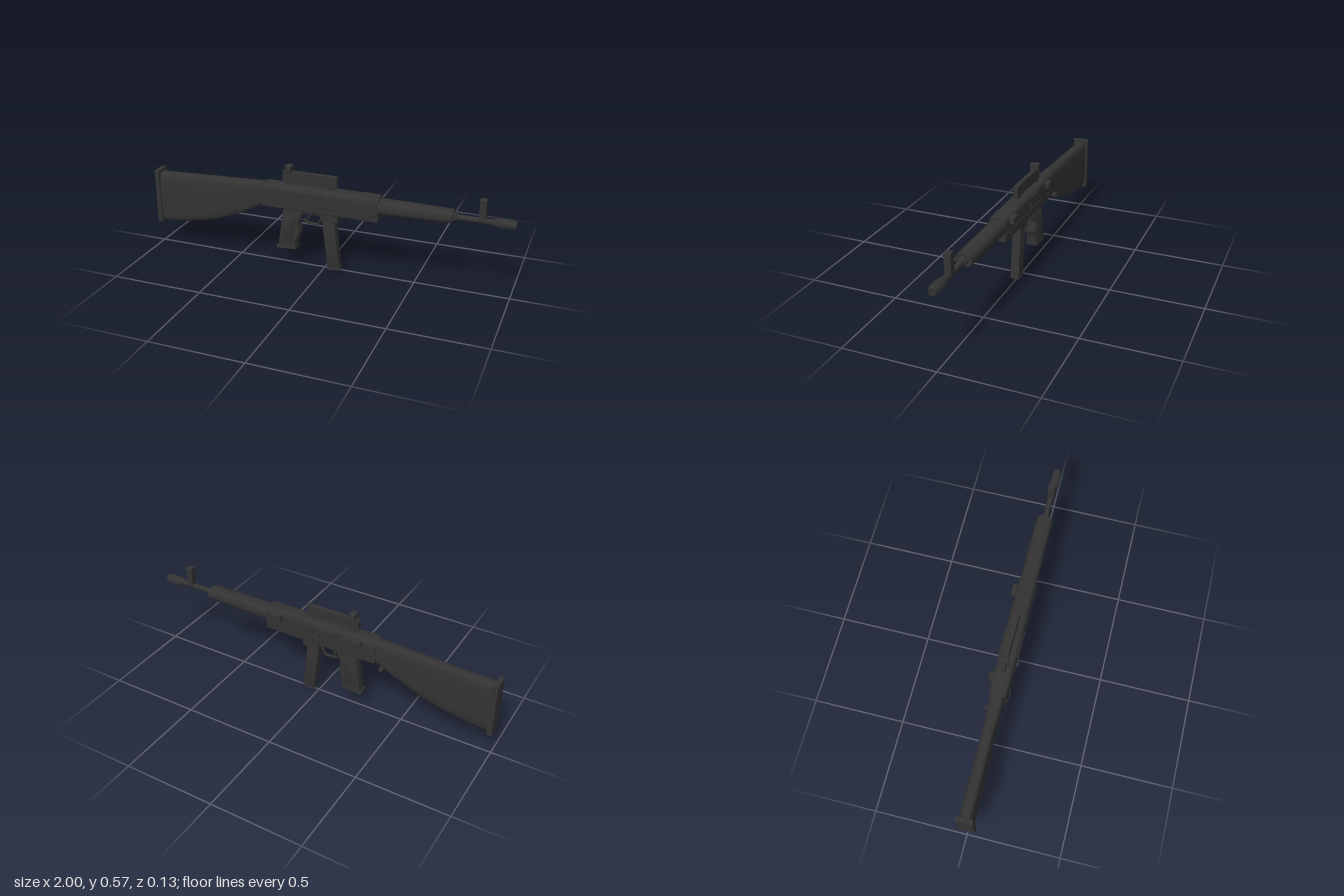
import * as THREE from 'three';
import { toCreasedNormals } from 'three/addons/utils/BufferGeometryUtils.js';
import { RoundedBoxGeometry } from 'three/addons/geometries/RoundedBoxGeometry.js';

const matte = new THREE.MeshStandardMaterial({ color: 0x333333 });
matte.name = 'matte black';

// Body lofted along x; each section is [x, top y, bottom y, half width], power sets how square it is
function loft(sections, power, n = 32) {
  const pos = [], index = [];
  for (const [x, top, bottom, w] of sections) {
    for (let j = 0; j < n; j++) {
      const a = (j / n) * Math.PI * 2, c = Math.cos(a), s = Math.sin(a);
      const round = (v) => Math.sign(v) * Math.abs(v) ** (2 / power);
      pos.push(x, (top + bottom) / 2 + round(s) * (top - bottom) / 2, round(c) * w);
    }
  }
  const last = sections.length - 1;
  for (let i = 0; i < last; i++) {
    for (let j = 0; j < n; j++) {
      const k = (j + 1) % n, a = i * n + j, b = a + n, c = (i + 1) * n + k, d = i * n + k;
      index.push(a, b, c, a, c, d);
    }
  }
  // End caps
  for (const i of [0, last]) {
    const centre = pos.length / 3, [x, top, bottom] = sections[i];
    pos.push(x, (top + bottom) / 2, 0);
    for (let j = 0; j < n; j++) {
      const a = i * n + j, b = i * n + ((j + 1) % n);
      index.push(centre, ...(i ? [b, a] : [a, b]));
    }
  }
  const geometry = new THREE.BufferGeometry();
  geometry.setAttribute('position', new THREE.Float32BufferAttribute(pos, 3));
  geometry.setIndex(index);
  return toCreasedNormals(geometry, 0.6);
}

// Side outline given depth across z, with a small bevel
function slab(points, half, bevel = 0.006) {
  const shape = new THREE.Shape(points.map(([x, y]) => new THREE.Vector2(x, y)));
  const geometry = new THREE.ExtrudeGeometry(shape, {
    depth: 2 * (half - bevel), bevelThickness: bevel, bevelSize: bevel,
    bevelOffset: -bevel, bevelSegments: 2,
  });
  geometry.translate(0, 0, bevel - half);
  return toCreasedNormals(geometry, 0.6);
}

// Round profile turned about the x axis, points are [radius, x]
function turned(points, sides = 20) {
  const geometry = new THREE.LatheGeometry(points.map(([r, x]) => new THREE.Vector2(r, x)), sides);
  geometry.rotateZ(-Math.PI / 2);
  return toCreasedNormals(geometry, 0.6);
}

export function createModel() {
  const model = new THREE.Group();
  const body = new THREE.Group();
  body.name = 'rifle';
  body.position.z = 0.005;
  model.add(body);

  const add = (name, geometry, x = 0, y = 0, z = 0) => {
    const mesh = new THREE.Mesh(geometry, matte);
    mesh.name = name;
    mesh.position.set(x, y, z);
    body.add(mesh);
    return mesh;
  };
  // Box given by its x, y and z ranges
  const box = (name, x0, x1, y0, y1, z0, z1, r = 0.003) =>
    add(name, new RoundedBoxGeometry(x1 - x0, y1 - y0, z1 - z0, 2, r), (x0 + x1) / 2, (y0 + y1) / 2, (z0 + z1) / 2);

  // Receiver, upper and lower halves
  add('upperReceiver', loft([[-0.352, 0.452, 0.345, 0.042], [-0.33, 0.46, 0.338, 0.047],
    [0.295, 0.46, 0.338, 0.048], [0.306, 0.457, 0.342, 0.045]], 5, 40));
  box('lowerReceiver', -0.35, 0.306, 0.328, 0.372, -0.046, 0.046, 0.008);
  for (const side of [-1, 1]) {
    const z = side * 0.047;
    box('sidePort', -0.13, 0.005, 0.412, 0.442, z - 0.004, z + 0.004);
    box('sideRail', -0.2, 0.3, 0.37, 0.377, z - 0.003, z + 0.003, 0.001);
    for (const x of [-0.28, 0.02, 0.25]) {
      const pin = new THREE.CylinderGeometry(0.008, 0.008, 0.01, 12).rotateX(Math.PI / 2);
      add('receiverPin', pin, x, 0.364, z);
    }
  }

  // Controls and lugs on the sides
  const selector = new THREE.CylinderGeometry(0.013, 0.013, 0.022, 16).rotateX(Math.PI / 2);
  add('selector', selector, -0.14, 0.361, 0.049);
  box('rearSideLug', -0.275, -0.232, 0.413, 0.447, -0.069, -0.04, 0.005);
  box('frontSideLug', 0.2, 0.26, 0.413, 0.447, -0.069, -0.04, 0.005);
  box('boltRelease', -0.03, -0.01, 0.38, 0.41, -0.055, -0.04);
  box('slingStud', -0.4, -0.38, 0.306, 0.325, -0.06, -0.02);

  // Top rail on short mounts, with rear sight
  box('topRail', -0.235, 0.07, 0.471, 0.535, -0.012, 0.012, 0.002);
  for (const x of [-0.2, 0.03]) box('railMount', x - 0.015, x + 0.015, 0.45, 0.475, -0.009, 0.009);
  box('rearSight', -0.217, -0.182, 0.528, 0.567, -0.024, 0.024, 0.004);

  // Stock and butt plate
  add('stock', loft([[-0.98, 0.43, 0.138, 0.035], [-0.86, 0.434, 0.149, 0.035], [-0.74, 0.439, 0.168, 0.034],
    [-0.65, 0.443, 0.191, 0.034], [-0.56, 0.446, 0.223, 0.033], [-0.46, 0.45, 0.267, 0.034],
    [-0.34, 0.454, 0.333, 0.038]], 4.5));
  box('buttPlate', -1, -0.973, 0.134, 0.445, -0.045, 0.045, 0.004);

  // Handguard with two rows of studs below
  add('handguard', loft([[0.3, 0.449, 0.363, 0.045], [0.66, 0.445, 0.377, 0.044],
    [0.69, 0.444, 0.379, 0.043]], 2.6));
  for (let i = 0; i < 5; i++) {
    for (const side of [-1, 1]) {
      add('handguardStud', new THREE.SphereGeometry(0.011, 10, 8), 0.37 + i * 0.065, 0.377 + i * 0.0022, side * 0.023);
    }
  }

  // Barrel, muzzle and front sight
  add('barrel', turned([[0, 0.68], [0.024, 0.68], [0.024, 0.702], [0.015, 0.706], [0.015, 0.9], [0, 0.9]]), 0, 0.409);
  add('muzzle', turned([[0, 0.875], [0.015, 0.875], [0.019, 0.89], [0.024, 0.91], [0.024, 0.99],
    [0.02, 1], [0.01, 1], [0.01, 0.97], [0, 0.97]], 12), 0, 0.409);
  for (let i = 0; i < 6; i++) {
    const a = (i / 6) * Math.PI * 2;
    const rib = add('muzzleRib', new THREE.BoxGeometry(0.06, 0.004, 0.008), 0.95, 0.409 + Math.cos(a) * 0.023, Math.sin(a) * 0.023);
    rib.rotation.x = a;
  }
  box('frontSight', 0.815, 0.85, 0.405, 0.523, -0.018, 0.018);

  // Pistol grip with finger grooves
  add('grip', slab([[-0.228, 0.335], [-0.112, 0.335], [-0.122, 0.3], [-0.125, 0.28], [-0.142, 0.255], [-0.145, 0.24],
    [-0.134, 0.21], [-0.134, 0.185], [-0.15, 0.16], [-0.155, 0.14], [-0.155, 0.103], [-0.262, 0.1]], 0.032, 0.01));
  const gripBase = box('gripBase', -0.27, -0.156, 0.091, 0.106, -0.033, 0.033);
  gripBase.rotation.z = 0.06;
  for (const side of [-1, 1]) {
    const panel = add('gripPanel', slab([[-0.215, 0.3], [-0.145, 0.3], [-0.17, 0.24], [-0.18, 0.13], [-0.245, 0.13]], 0.003, 0.001));
    panel.position.z = side * 0.033;
    for (let i = 0; i < 5; i++) {
      add('gripStud', new THREE.SphereGeometry(0.005, 8, 6), -0.138 - i * 0.005, 0.285 - i * 0.033, side * 0.03);
    }
  }

  // Trigger and its guard
  const guard = new THREE.CurvePath();
  const bends = [[-0.12, 0.27], [-0.1, 0.252], [-0.035, 0.25], [-0.02, 0.285], [-0.008, 0.3]]
    .map(([x, y]) => new THREE.Vector3(x, y, 0));
  for (let i = 1; i < bends.length; i++) guard.add(new THREE.LineCurve3(bends[i - 1], bends[i]));
  add('triggerGuard', new THREE.TubeGeometry(guard, 24, 0.006, 8).scale(1, 1, 1.6));
  const trigger = new THREE.QuadraticBezierCurve3(new THREE.Vector3(-0.085, 0.335, 0),
    new THREE.Vector3(-0.083, 0.29, 0), new THREE.Vector3(-0.1, 0.268, 0));
  add('trigger', new THREE.TubeGeometry(trigger, 10, 0.006, 8));
  box('triggerHousing', -0.12, 0, 0.312, 0.335, -0.025, 0.025);

  // Magazine well and slanted magazine
  box('magazineWell', -0.015, 0.083, 0.286, 0.335, -0.033, 0.033, 0.004);
  add('magazine', slab([[-0.01, 0.3], [0.06, 0.3], [0.09, 0.013], [0.026, 0.006]], 0.024, 0.003));
  const floor = box('magazineFloor', 0.025, 0.092, 0.003, 0.013, -0.025, 0.025);
  floor.rotation.z = 0.1;

  return model;
}
